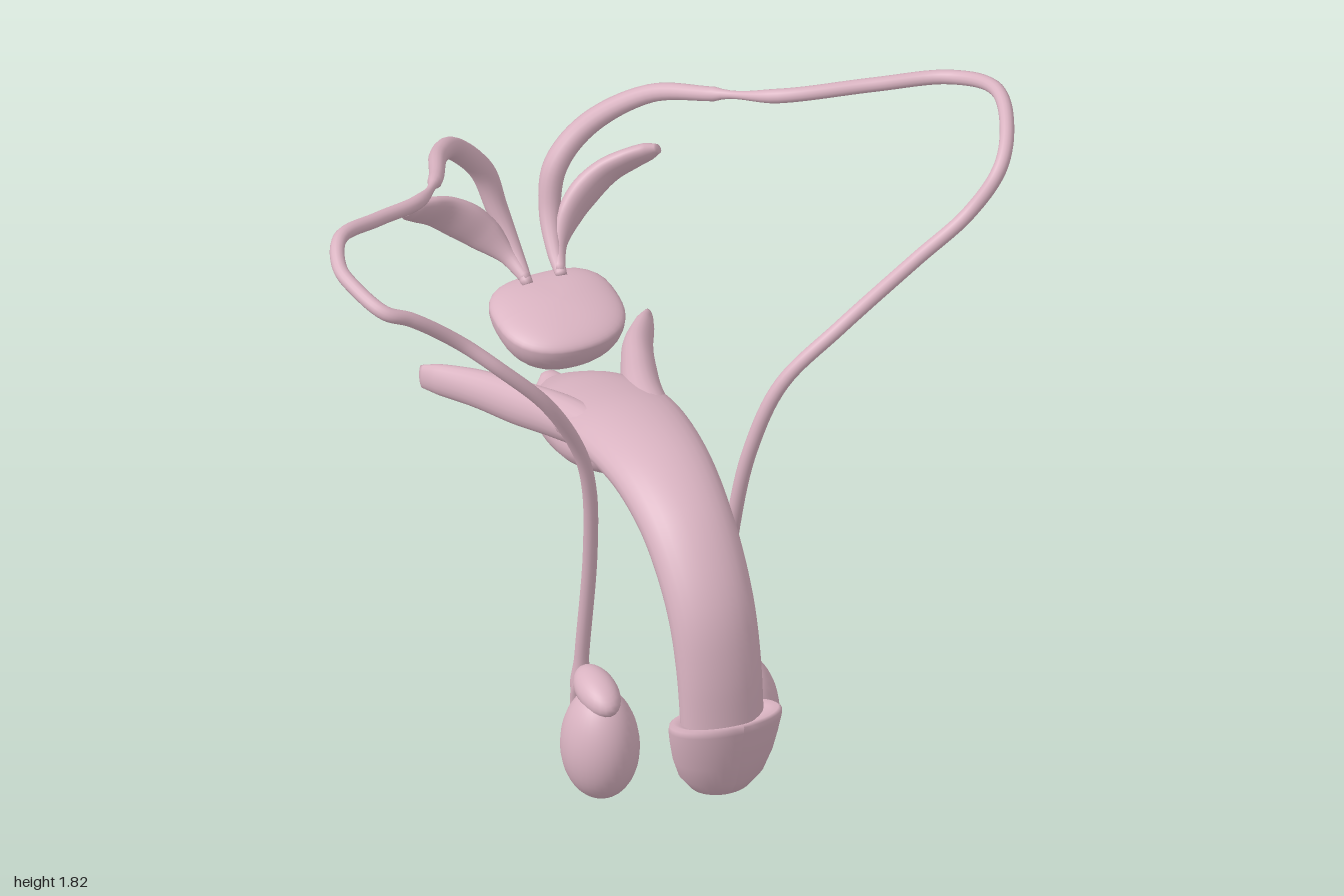
import * as THREE from 'three';

const MID = -0.11; // x of the body's mirror plane

// Elliptical sweep through [x, y, z, r1, r2] stations; ref sets the r1 direction
function sweep(stations, ref, sides = 20, steps = 6) {
  const path = new THREE.CatmullRomCurve3(stations.map(s => new THREE.Vector3(s[0], s[1], s[2])));
  const radii = new THREE.CatmullRomCurve3(stations.map(s => new THREE.Vector3(s[3], s[4], 0)));
  const n = (stations.length - 1) * steps;
  const pos = [], index = [];
  let u = ref ? ref.clone() : new THREE.Vector3(1, 0, 0.3);
  const ring = (t, k) => {
    const p = path.getPoint(t), r = radii.getPoint(t), tan = path.getTangent(t);
    u = (ref ? ref.clone() : u).addScaledVector(tan, -(ref || u).dot(tan)).normalize();
    const v = tan.clone().cross(u);
    for (let j = 0; j < sides; j++) {
      const a = (j / sides) * Math.PI * 2;
      const q = p.clone()
        .addScaledVector(u, Math.cos(a) * Math.max(r.x, 0.002) * k)
        .addScaledVector(v, Math.sin(a) * Math.max(r.y, 0.002) * k);
      pos.push(q.x, q.y, q.z);
    }
  };
  ring(0, 0); // collapsed rings close both ends
  for (let i = 0; i <= n; i++) ring(i / n, 1);
  ring(1, 0);
  for (let i = 0; i < n + 2; i++) for (let j = 0; j < sides; j++) {
    const a = i * sides + j, b = i * sides + (j + 1) % sides;
    index.push(a, b, a + sides, b, b + sides, a + sides);
  }
  const g = new THREE.BufferGeometry();
  g.setAttribute('position', new THREE.Float32BufferAttribute(pos, 3));
  g.setIndex(index);
  g.computeVertexNormals();
  return g;
}

// Moves every vertex by a rule
function reshape(g, rule) {
  const p = g.attributes.position, v = new THREE.Vector3();
  for (let i = 0; i < p.count; i++) {
    rule(v.fromBufferAttribute(p, i));
    p.setXYZ(i, v.x, v.y, v.z);
  }
  g.computeVertexNormals();
  return g;
}

export function createModel() {
  const model = new THREE.Group();
  model.name = 'anatomyModel';
  const tissue = new THREE.MeshStandardMaterial({ color: 0xd9b3c1 });
  tissue.name = 'tissuePink';
  const add = (name, geometry, x = 0, y = 0, z = 0) => {
    const m = new THREE.Mesh(geometry, tissue);
    m.name = name;
    m.position.set(x, y, z);
    model.add(m);
    return m;
  };
  const X = new THREE.Vector3(1, 0, 0);

  // Curved upper body, stations [y, z, half width, half height]
  add('cavernousBody', sweep([
    [0.40, 0.64, 0.118, 0.07], [0.60, 0.612, 0.12, 0.073], [0.74, 0.565, 0.122, 0.078],
    [0.845, 0.49, 0.125, 0.08], [0.93, 0.385, 0.13, 0.08], [0.985, 0.225, 0.142, 0.076],
    [0.975, 0, 0.16, 0.07], [0.93, -0.18, 0.165, 0.06], [0.88, -0.33, 0.13, 0.05],
    [0.82, -0.46, 0.07, 0.03], [0.79, -0.52, 0.03, 0.015],
  ].map(([y, z, a, b]) => [MID, y, z, a, b]), X, 28));

  // Lower body swelling into a bulb at the back
  add('spongyBody', sweep([
    [0.38, 0.575, 0.05, 0.04], [0.55, 0.555, 0.05, 0.04], [0.72, 0.49, 0.05, 0.04],
    [0.83, 0.4, 0.05, 0.04], [0.9, 0.225, 0.052, 0.04], [0.88, 0, 0.06, 0.05],
    [0.81, -0.15, 0.075, 0.065], [0.757, -0.3, 0.09, 0.08], [0.745, -0.4, 0.095, 0.078],
    [0.755, -0.5, 0.08, 0.055], [0.785, -0.57, 0.02, 0.012],
  ].map(([y, z, a, b]) => [MID, y, z, a, b]), X, 24));

  // Flared cap at the front end: a lathe with its rim sheared up toward the front
  const capProfile = [[0, 0], [0.045, 0.004], [0.088, 0.025], [0.12, 0.07], [0.139, 0.13], [0.15, 0.19],
    [0.157, 0.24], [0.156, 0.258], [0.146, 0.267], [0.125, 0.257], [0.08, 0.235], [0, 0.23]]
    .map(([r, y]) => new THREE.Vector2(r, y));
  add('glans', reshape(new THREE.LatheGeometry(capProfile, 40), v => {
    const t = v.y / 0.26;
    v.z *= 0.83;
    v.y += v.z * 0.38 * t;
    v.z += 0.04 * t;
  }), MID, 0.2, 0.62);

  // Gland: bowl with a flattened top, round in front and squarer behind
  const gland = add('prostate', reshape(new THREE.SphereGeometry(1, 40, 28), v => {
    const corner = v.z < 0 ? 0.12 : 0.05;
    const square = 1 + corner * Math.pow(Math.sin(2 * Math.atan2(v.z, v.x)), 2);
    v.set(v.x * 0.178 * square, v.y * (v.y > 0 ? 0.05 : 0.138), v.z * 0.163 * square);
  }), MID, 1.035, -0.492);
  gland.rotation.x = 0.1;

  // Thin duct under the back of the gland
  add('ductStub', sweep([
    [-0.08, 0.925, -0.53, 0.012, 0.008], [-0.07, 0.95, -0.61, 0.01, 0.006], [-0.06, 0.985, -0.685, 0.005, 0.003],
  ], X, 10));

  for (const s of [1, -1]) {
    const side = s > 0 ? 'left' : 'right';
    const mirror = list => list.map(([d, ...rest]) => [MID + s * d, ...rest]);

    // Root diverging toward the back into a thin upright edge
    add(side + 'Crus', sweep(mirror([
      [0.06, 0.975, 0.12, 0.03, 0.03], [0.085, 0.96, -0.05, 0.06, 0.058], [0.122, 0.922, -0.2, 0.056, 0.064],
      [0.175, 0.88, -0.35, 0.05, 0.064], [0.235, 0.845, -0.5, 0.042, 0.055],
      [0.3, 0.82, -0.61, 0.028, 0.045], [0.332, 0.81, -0.655, 0.014, 0.034],
    ]), X));

    // Leaf-like vesicle, broad toward its blunt tip
    add(side + 'SeminalVesicle', sweep(mirror([
      [0.05, 1.09, -0.6, 0.016, 0.014], [0.075, 1.13, -0.665, 0.026, 0.02], [0.125, 1.185, -0.71, 0.055, 0.03],
      [0.185, 1.24, -0.73, 0.066, 0.034], [0.245, 1.285, -0.73, 0.062, 0.03], [0.3, 1.32, -0.71, 0.056, 0.026],
      [0.345, 1.345, -0.69, 0.042, 0.022], [0.37, 1.358, -0.675, 0.018, 0.012],
    ]), new THREE.Vector3(-0.6 * s, 0.7, 0.4)));

    // Testis with the epididymis over its top and back
    const cx = MID + s * 0.205;
    add(side + 'Testis', reshape(new THREE.SphereGeometry(1, 32, 24), v => {
      const k = 1 - 0.05 * v.y;
      v.set(v.x * 0.106 * k, v.y * 0.169, v.z * 0.118 * k);
    }), cx, 0.177, 0.275);
    const head = add(side + 'EpididymisHead', new THREE.SphereGeometry(1, 24, 16), cx, 0.332, 0.255);
    head.scale.set(0.056, 0.05, 0.1);
    head.rotation.x = 0.1;
    add(side + 'EpididymisTail', sweep([
      [cx, 0.34, 0.2, 0.04, 0.03], [cx, 0.27, 0.163, 0.038, 0.025], [cx, 0.18, 0.152, 0.032, 0.02],
      [cx, 0.1, 0.165, 0.025, 0.018], [cx, 0.065, 0.17, 0.015, 0.014],
    ], X));
  }

  // Long ducts: a small loop behind each testis, then up, over and back down to the gland
  const duct = (name, points) => {
    const n = points.length;
    add(name, sweep(points.map((p, i) => {
      const k = n - 1 - i;
      const r = k < 6 ? [0.016, 0.022, 0.03, 0.034, 0.032, 0.026][k] : i < 4 ? 0.015 : 0.02;
      return [...p, r, r];
    }), null, 14, 8));
  };
  duct('leftVasDeferens', [
    [0.09, 0.1, 0.17], [0.085, 0.065, 0.16], [0.085, 0.09, 0.125], [0.09, 0.15, 0.12], [0.095, 0.24, 0.135],
    [0.1, 0.38, 0.15], [0.107, 0.73, 0.2], [0.145, 1.0, 0.235], [0.225, 1.21, 0.262], [0.385, 1.36, 0.28],
    [0.63, 1.49, 0.235], [0.785, 1.59, 0.225], [0.88, 1.7, 0.215], [0.94, 1.755, 0.13], [0.978, 1.78, -0.03],
    [0.91, 1.735, -0.19], [0.72, 1.71, -0.27], [0.48, 1.68, -0.36], [0.35, 1.63, -0.5], [0.225, 1.56, -0.66],
    [0.08, 1.43, -0.755], [-0.01, 1.32, -0.755], [-0.04, 1.2, -0.72], [-0.055, 1.12, -0.65], [-0.06, 1.08, -0.59],
  ]);
  duct('rightVasDeferens', [
    [-0.32, 0.1, 0.17], [-0.315, 0.065, 0.16], [-0.315, 0.09, 0.125], [-0.315, 0.15, 0.12], [-0.315, 0.24, 0.135],
    [-0.315, 0.385, 0.15], [-0.312, 0.75, 0.2], [-0.33, 1.0, 0.235], [-0.365, 1.14, 0.25], [-0.47, 1.34, 0.275],
    [-0.6, 1.485, 0.26], [-0.7, 1.575, 0.22], [-0.845, 1.695, 0.22], [-0.92, 1.735, 0.215], [-0.965, 1.765, 0.12],
    [-0.978, 1.785, 0.04], [-0.94, 1.812, -0.05], [-0.79, 1.775, -0.14], [-0.64, 1.735, -0.22], [-0.53, 1.68, -0.36],
    [-0.425, 1.59, -0.58], [-0.32, 1.49, -0.72], [-0.22, 1.36, -0.757], [-0.187, 1.24, -0.735],
    [-0.165, 1.14, -0.67], [-0.16, 1.08, -0.59],
  ]);
  return model;
}
